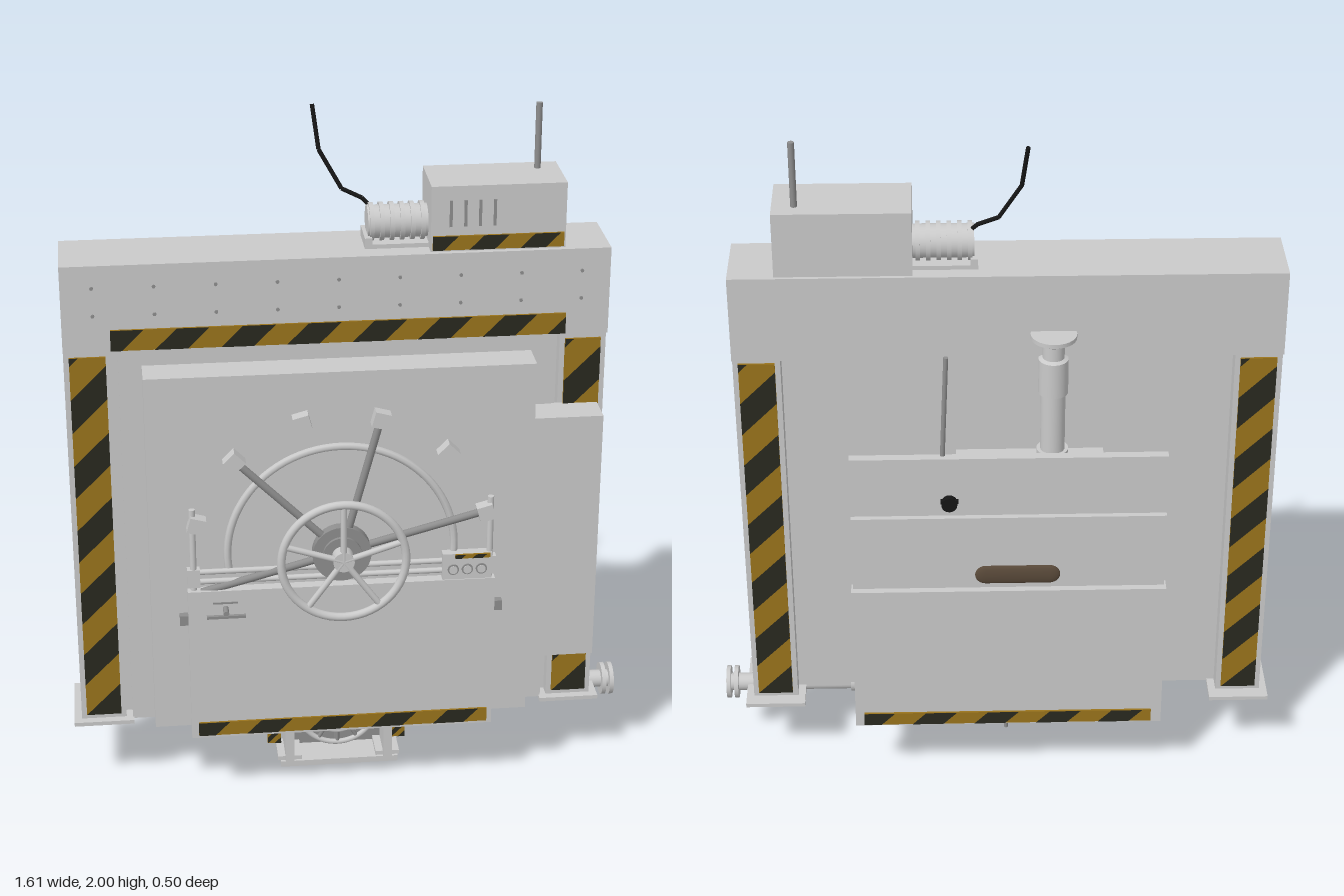
import * as THREE from 'three';

const mat = (name, color, side = THREE.FrontSide) => {
  const m = new THREE.MeshStandardMaterial({ color, side });
  m.name = name;
  return m;
};

export function createModel() {
  const root = new THREE.Group();
  root.name = 'blastDoor';
  const steel = mat('light steel', 0xcacaca);
  const grey = mat('mid grey metal', 0x8e8e8e);
  const yellow = mat('hazard yellow', 0x9a741c);
  const black = mat('hazard black', 0x29291f);
  const brown = mat('dark brown', 0x5a4a3a);
  const rubber = mat('cable black', 0x161616);
  const CX = -0.035, CY = 0.787; // door centre

  const add = (name, geo, m, parent = root) => {
    const mesh = new THREE.Mesh(geo, m);
    mesh.name = name;
    parent.add(mesh);
    return mesh;
  };
  // Box given by its extents
  const box = (name, x0, x1, y0, y1, z0, z1, m = steel) => {
    const b = add(name, new THREE.BoxGeometry(x1 - x0, y1 - y0, z1 - z0), m);
    b.position.set((x0 + x1) / 2, (y0 + y1) / 2, (z0 + z1) / 2);
    return b;
  };
  // Cylinder between two points
  const rod = (name, a, b, r, m = steel, sides = 20) => {
    const p = new THREE.Vector3(...a), q = new THREE.Vector3(...b);
    const c = add(name, new THREE.CylinderGeometry(r, r, p.distanceTo(q), sides), m);
    c.position.copy(p).add(q).multiplyScalar(0.5);
    c.quaternion.setFromUnitVectors(new THREE.Vector3(0, 1, 0), q.sub(p).normalize());
    return c;
  };
  // Cut a polygon where sign * (x - limit) < 0
  const cut = (pts, limit, sign) => pts.flatMap((p, i) => {
    const q = pts[(i + 1) % pts.length];
    const a = sign * (p.x - limit), b = sign * (q.x - limit);
    const out = a >= 0 ? [p] : [];
    if (a * b < 0) out.push(p.clone().lerp(q, a / (a - b)));
    return out;
  });
  // Thin yellow plate with slanted black bands, facing front (1) or back (-1)
  const hazard = (name, x0, x1, y0, y1, z, face = 1, period = 0.18) => {
    const g = new THREE.Group();
    g.name = name;
    const w = x1 - x0, h = y1 - y0, tall = h > w;
    const L = tall ? h : w, W = tall ? w : h;
    add('yellowPlate', new THREE.BoxGeometry(w, h, 0.006), yellow, g);
    const shapes = [];
    for (let u = -W; u < L; u += period) {
      let pts = [[u, 0], [u + period / 2, 0], [u + period / 2 + W, W], [u + W, W]]
        .map(p => new THREE.Vector2(...p));
      pts = cut(cut(pts, 0, 1), L, -1);
      if (pts.length > 2) {
        shapes.push(new THREE.Shape(pts.map(p => tall
          ? new THREE.Vector2(p.y - w / 2, p.x - h / 2)
          : new THREE.Vector2(p.x - w / 2, p.y - h / 2))));
      }
    }
    add('blackBands', new THREE.ShapeGeometry(shapes), black, g).position.z = 0.0045;
    g.position.set((x0 + x1) / 2, (y0 + y1) / 2, z + 0.003 * face);
    if (face < 0) g.rotation.y = Math.PI;
    root.add(g);
  };

  // Frame: columns, beam, wall and feet
  box('topBeam', -0.785, 0.715, 1.38, 1.63, -0.122, 0.086);
  box('wall', -0.66, 0.59, 0.215, 1.38, -0.05, 0.03);
  box('doorFrame', -0.637, 0.567, 0.215, 1.375, -0.04, 0.07);
  for (const [x0, x1, s0, s1] of [[-0.785, -0.655, -0.77, -0.67], [0.585, 0.715, 0.6, 0.7]]) {
    box('column', x0, x1, 0.215, 1.38, -0.1, 0.066);
    box('footPlate', x0 - 0.022, x1 + 0.022, 0.208, 0.22, -0.14, 0.09);
    hazard('columnStripeFront', s0, s1, 0.235, 1.36, 0.066, 1, 0.2);
    hazard('columnStripeBack', s0, s1, 0.235, 1.36, -0.1, -1, 0.2);
  }
  hazard('beamStripe', -0.655, 0.595, 1.385, 1.445, 0.086);
  for (let i = 0; i < 9; i++) for (const y of [1.487, 1.567]) {
    const x = -0.7 + i * 0.167;
    rod('rivet', [x, y, 0.084], [x, y, 0.091], 0.005, grey, 8);
  }

  // Door and side latch block
  box('door', -0.573, 0.505, 0.24, 1.33, 0.06, 0.168);
  box('latchBlock', 0.505, 0.697, 0.41, 1.165, 0.066, 0.168);
  hazard('sillStripe', -0.57, 0.5, 0.22, 0.24, 0.07);
  box('lowerCover', -0.47, 0.4, 0.215, 0.69, 0.165, 0.2);
  hazard('coverStripe', -0.45, 0.385, 0.225, 0.267, 0.2);
  for (const x of [-0.48, 0.41]) box('coverHinge', x - 0.014, x + 0.014, 0.58, 0.61, 0.167, 0.19, grey);

  // Locking arc, spider rods and bolt blocks
  const arc = add('lockArc', new THREE.TorusGeometry(0.32, 0.011, 8, 48, Math.PI * 1.1), steel);
  arc.position.set(CX, CY, 0.168);
  arc.rotation.z = -Math.PI * 0.05;
  for (let i = 0; i < 6; i++) {
    const a = THREE.MathUtils.degToRad(15 + 30 * i), c = Math.cos(a), s = Math.sin(a);
    const b = add('boltBlock', new THREE.BoxGeometry(0.045, 0.045, 0.045), steel);
    b.position.set(CX + 0.42 * c, CY + 0.42 * s, 0.182);
    b.rotation.z = a;
  }
  for (const d of [15, 75, 135, 195]) {
    const a = THREE.MathUtils.degToRad(d), c = Math.cos(a), s = Math.sin(a);
    rod('lockRod', [CX + 0.06 * c, CY + 0.06 * s, 0.183],
      [CX + 0.41 * c, CY + 0.41 * s, 0.183], 0.011, grey, 12);
  }
  for (const y of [0.712, 0.742]) rod('guideBar', [-0.45, y, 0.178], [0.39, y, 0.178], 0.008);
  for (const x of [-0.452, 0.385]) {
    rod('guidePost', [x, 0.69, 0.182], [x, 0.94, 0.182], 0.009);
    box('guideClamp', x - 0.018, x + 0.018, 0.7, 0.755, 0.168, 0.192);
  }

  // Handwheel
  rod('hub', [CX, CY, 0.168], [CX, CY, 0.198], 0.083, grey, 32);
  rod('hubRing', [CX, CY, 0.195], [CX, CY, 0.208], 0.055, grey, 32);
  rod('wheelShaft', [CX, CY, 0.168], [CX, CY, 0.25], 0.03);
  add('wheelRim', new THREE.TorusGeometry(0.175, 0.012, 12, 56), steel).position.set(CX, CY, 0.242);
  for (let i = 0; i < 5; i++) {
    const a = Math.PI / 2 + i * Math.PI * 0.4;
    rod('wheelSpoke', [CX, CY, 0.242],
      [CX + 0.175 * Math.cos(a), CY + 0.175 * Math.sin(a), 0.242], 0.009, steel, 10);
  }

  // Control box and small T handle
  box('controlBox', 0.25, 0.39, 0.69, 0.77, 0.167, 0.197);
  hazard('controlStripe', 0.285, 0.385, 0.758, 0.77, 0.197, 1, 0.06);
  for (const x of [0.28, 0.32, 0.36]) {
    rod('dial', [x, 0.722, 0.19], [x, 0.722, 0.201], 0.016, grey);
    rod('dialFace', [x, 0.722, 0.2], [x, 0.722, 0.203], 0.012, steel);
  }
  rod('handleStem', [-0.365, 0.635, 0.195], [-0.365, 0.635, 0.235], 0.008, grey);
  box('handleBar', -0.42, -0.31, 0.622, 0.63, 0.228, 0.238, grey);
  box('handleSlot', -0.4, -0.33, 0.65, 0.655, 0.198, 0.203, grey);

  // Rear housing in three stepped tiers
  box('rearBody', -0.46, 0.39, 0.215, 0.69, -0.2, -0.04);
  box('rearLowerPanel', -0.48, 0.41, 0.215, 0.69, -0.242, -0.2);
  box('rearMiddlePanel', -0.475, 0.405, 0.69, 0.925, -0.222, -0.19);
  box('rearUpperPanel', -0.475, 0.405, 0.925, 1.11, -0.206, -0.18);
  hazard('rearStripe', -0.45, 0.385, 0.222, 0.262, -0.242, -1);
  for (const s of [-1, 1]) {
    const x = CX + s * 0.39;
    box('sideLowerBox', x - 0.045, x + 0.045, 0.69, 0.8, -0.18, -0.04);
    box('sideMiddleBox', x - 0.035, x + 0.035, 0.81, 0.88, -0.175, -0.04);
    box('sideUpperBox', x - 0.025, x + 0.025, 0.89, 0.94, -0.165, -0.04, grey);
    rod('sidePin', [x - 0.05, 0.985, -0.13], [x + 0.05, 0.985, -0.13], 0.012, grey);
    box('sideBand', x - 0.036, x + 0.036, 0.59, 0.6, -0.2, -0.1, brown);
  }
  box('innerTray', 0.2, 0.35, 0.69, 0.76, -0.18, -0.05, brown);
  const slot = new THREE.CapsuleGeometry(0.03, 0.18, 6, 16);
  slot.rotateZ(Math.PI / 2);
  slot.scale(1, 1, 0.3);
  add('rearGrip', slot, brown).position.set(-0.06, 0.735, -0.224);
  rod('rearKnob', [0.13, 0.97, -0.2], [0.13, 0.97, -0.225], 0.022, rubber);
  box('rearKnobBar', 0.105, 0.155, 0.975, 0.985, -0.225, -0.214, rubber);
  rod('rearRod', [0.15, 1.05, -0.185], [0.135, 1.42, -0.185], 0.007, grey, 10);

  // Vent pipe
  const vent = [[0, 0.9], [0.034, 0.9], [0.034, 1.07], [0.044, 1.07], [0.044, 1.1], [0.034, 1.1],
    [0.034, 1.28], [0.041, 1.28], [0.041, 1.385], [0.03, 1.39], [0.03, 1.43], [0.063, 1.45],
    [0.063, 1.462], [0, 1.462]];
  // Separate sections keep the rings crisp
  for (let i = 0; i < vent.length - 1; i++) {
    add('ventPipe', new THREE.LatheGeometry([vent[i], vent[i + 1]].map(p => new THREE.Vector2(...p)), 28), steel)
      .position.set(-0.157, 0, -0.135);
  }
  box('ventDuct', -0.3, 0.11, 1.05, 1.075, -0.165, -0.1);

  // Drive unit on the beam
  box('driveBox', 0.22, 0.59, 1.63, 1.815, -0.112, 0.07);
  hazard('driveStripe', 0.225, 0.585, 1.635, 1.675, 0.07, 1, 0.14);
  for (let i = 0; i < 4; i++) {
    const x = 0.27 + i * 0.04;
    box('driveVent', x, x + 0.008, 1.7, 1.775, 0.069, 0.073, grey);
  }
  rod('antenna', [0.53, 1.81, -0.063], [0.53, 2, -0.063], 0.009, grey, 12);
  rod('motor', [0.055, 1.69, -0.025], [0.22, 1.69, -0.025], 0.046, steel, 28);
  for (let i = 0; i < 6; i++) {
    const x = 0.06 + i * 0.028;
    rod('motorRib', [x, 1.69, -0.025], [x + 0.012, 1.69, -0.025], 0.053, steel, 28);
  }
  box('motorFoot', 0.045, 0.065, 1.63, 1.66, -0.08, 0.03);
  box('motorBase', 0.045, 0.22, 1.63, 1.642, -0.08, 0.03);
  const bends = [[0.06, 1.735, -0.045], [0.045, 1.75, -0.05], [-0.01, 1.775, -0.06],
    [-0.07, 1.88, -0.085], [-0.085, 2, -0.11]];
  for (let i = 0; i < 4; i++) rod('cable', bends[i], bends[i + 1], 0.006, rubber, 8);

  // Outlet pipe below
  rod('outletPipe', [0.02, 0.213, -0.02], [0.79, 0.213, -0.02], 0.026);
  rod('pipeCollar', [0.4, 0.213, -0.02], [0.43, 0.213, -0.02], 0.033);
  for (const x of [0.765, 0.788]) rod('pipeFlange', [x, 0.213, -0.02], [x + 0.012, 0.213, -0.02], 0.048, steel, 28);

  // Undercarriage
  for (const y of [0.15, 0.18]) box('slideBar', -0.45, 0.385, y, y + 0.02, -0.03, -0.01, brown);
  for (const x of [-0.4, -0.25, 0.18, 0.33]) box('slideClamp', x - 0.02, x + 0.02, 0.135, 0.215, -0.035, 0, grey);
  box('crossPlate', -0.24, 0.17, 0.12, 0.135, -0.015, 0.02);
  for (const s of [-1, 1]) {
    const x = CX + s * 0.145;
    box('bracketLeg', x - 0.013, x + 0.013, 0.055, 0.215, -0.01, 0.1);
    box('bracketFoot', x - 0.035, x + 0.035, 0.055, 0.068, -0.01, 0.09);
    hazard('bracketStripe', CX + s * 0.185 - 0.02, CX + s * 0.185 + 0.02, 0.07, 0.115, 0.01, 1, 0.04);
  }
  box('bracketBase', -0.207, 0.14, 0.037, 0.055, -0.012, 0.098);
  box('bracketBack', -0.18, 0.11, 0.055, 0.12, -0.012, 0, grey);
  rod('centrePost', [CX, 0, 0.012], [CX, 0.1, 0.012], 0.006, grey, 10);
  for (const r of [0.075, 0.115]) {
    const ring = add('archRing', new THREE.TorusGeometry(r, 0.008, 8, 32, Math.PI), steel);
    ring.position.set(CX, 0.2, 0.05);
    ring.rotation.z = Math.PI;
  }
  for (let i = 1; i < 6; i++) {
    const a = -i * Math.PI / 6, c = Math.cos(a), s = Math.sin(a);
    rod('archSpoke', [CX + 0.075 * c, 0.2 + 0.075 * s, 0.05], [CX + 0.115 * c, 0.2 + 0.115 * s, 0.05], 0.006, grey, 8);
  }
  return root;
}
